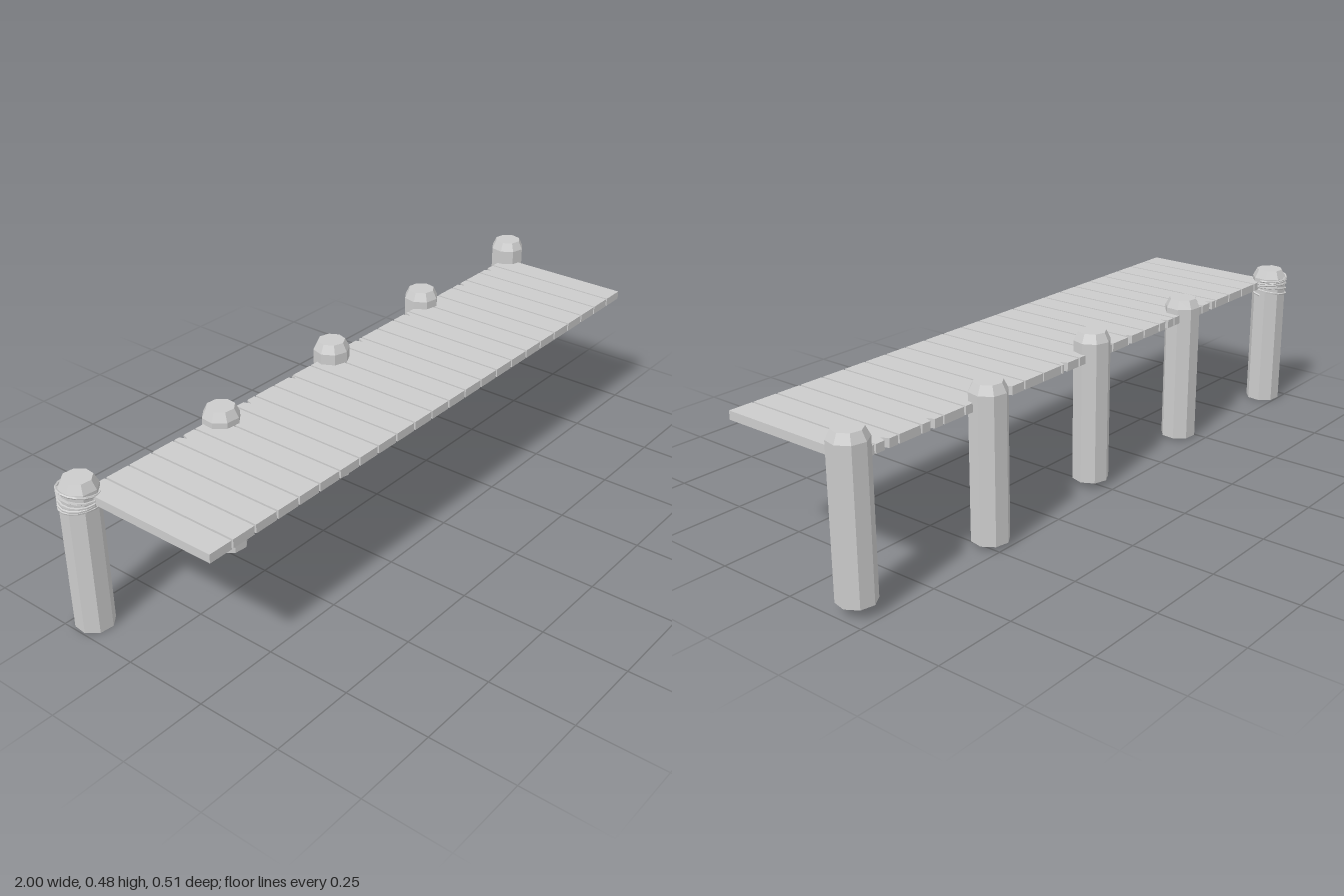
import * as THREE from 'three';

const material = new THREE.MeshStandardMaterial({ color: 0xcccccc, flatShading: true });

// Eight-sided post with a chamfered top
function makePost({ x, z, base, turn }, name) {
  const profile = [[0, 0], [0.054, 0], [0.054, 0.422], [0.041, 0.448], [0, 0.448]];
  const geometry = new THREE.LatheGeometry(profile.map(([r, y]) => new THREE.Vector2(r, y)), 8);
  const post = new THREE.Mesh(geometry, material);
  post.position.set(x, base, z);
  post.rotation.y = turn;
  post.name = name;
  return post;
}

// Plank outline drawn from above, with an optional split in its rear end
function makePlank(x, width, front, back, split) {
  const w = width / 2;
  const points = [[-w, -front], [w, -front], [w, -back]];
  if (split !== undefined) {
    points.push([split + 0.008, -back], [split, -back - 0.022], [split - 0.008, -back]);
  }
  points.push([-w, -back]);
  const shape = new THREE.Shape(points.map(([px, py]) => new THREE.Vector2(px, py)));
  const geometry = new THREE.ExtrudeGeometry(shape, { depth: 0.025, bevelEnabled: false });
  geometry.rotateX(-Math.PI / 2);
  const plank = new THREE.Mesh(geometry, material);
  plank.position.set(x, 0.385, 0);
  plank.name = 'plank';
  return plank;
}

// Rope wound round a post: a helix whose turns lean to and fro
function makeRope(x, z) {
  const turns = 5, steps = 16, points = [];
  for (let i = 0; i <= turns * steps; i++) {
    const t = i / (turns * steps);
    const a = (i / steps) * Math.PI * 2;
    const lean = 0.007 * Math.sin(a + t * 5);
    points.push(new THREE.Vector3(0.055 * Math.cos(a), 0.367 + 0.056 * t + lean, 0.055 * Math.sin(a)));
  }
  const curve = new THREE.CatmullRomCurve3(points);
  const rope = new THREE.Mesh(new THREE.TubeGeometry(curve, turns * steps, 0.0038, 5), material);
  rope.position.set(x, 0, z);
  rope.name = 'rope';
  return rope;
}

export function createModel() {
  const model = new THREE.Group();
  model.name = 'dock';

  // Row of posts along the rear edge
  const posts = new THREE.Group();
  posts.name = 'posts';
  const layout = [
    { x: -0.943, z: -0.195, base: 0.0, turn: 0.3 },
    { x: -0.47, z: -0.164, base: 0.005, turn: 0.3 },
    { x: 0, z: -0.17, base: 0.02, turn: 0.1 },
    { x: 0.472, z: -0.195, base: 0.012, turn: 0.2 },
    { x: 0.946, z: -0.183, base: 0.032, turn: 0.17 },
  ];
  layout.forEach((p, i) => posts.add(makePost(p, `post${i + 1}`)));
  model.add(posts);

  // Deck of planks, a few of them split at the rear
  const deck = new THREE.Group();
  deck.name = 'deck';
  const count = 24, pitch = 0.0786;
  const splits = { 4: -0.01, 7: 0.0, 9: 0.03, 13: 0.02, 16: 0.02, 20: 0.0, 22: 0.0 };
  for (let i = 0; i < count; i++) {
    const x = (i - (count - 1) / 2) * pitch;
    deck.add(makePlank(x, 0.0725, 0.255, -0.185, splits[i]));
  }
  model.add(deck);

  model.add(makeRope(layout[0].x, layout[0].z));
  return model;
}
